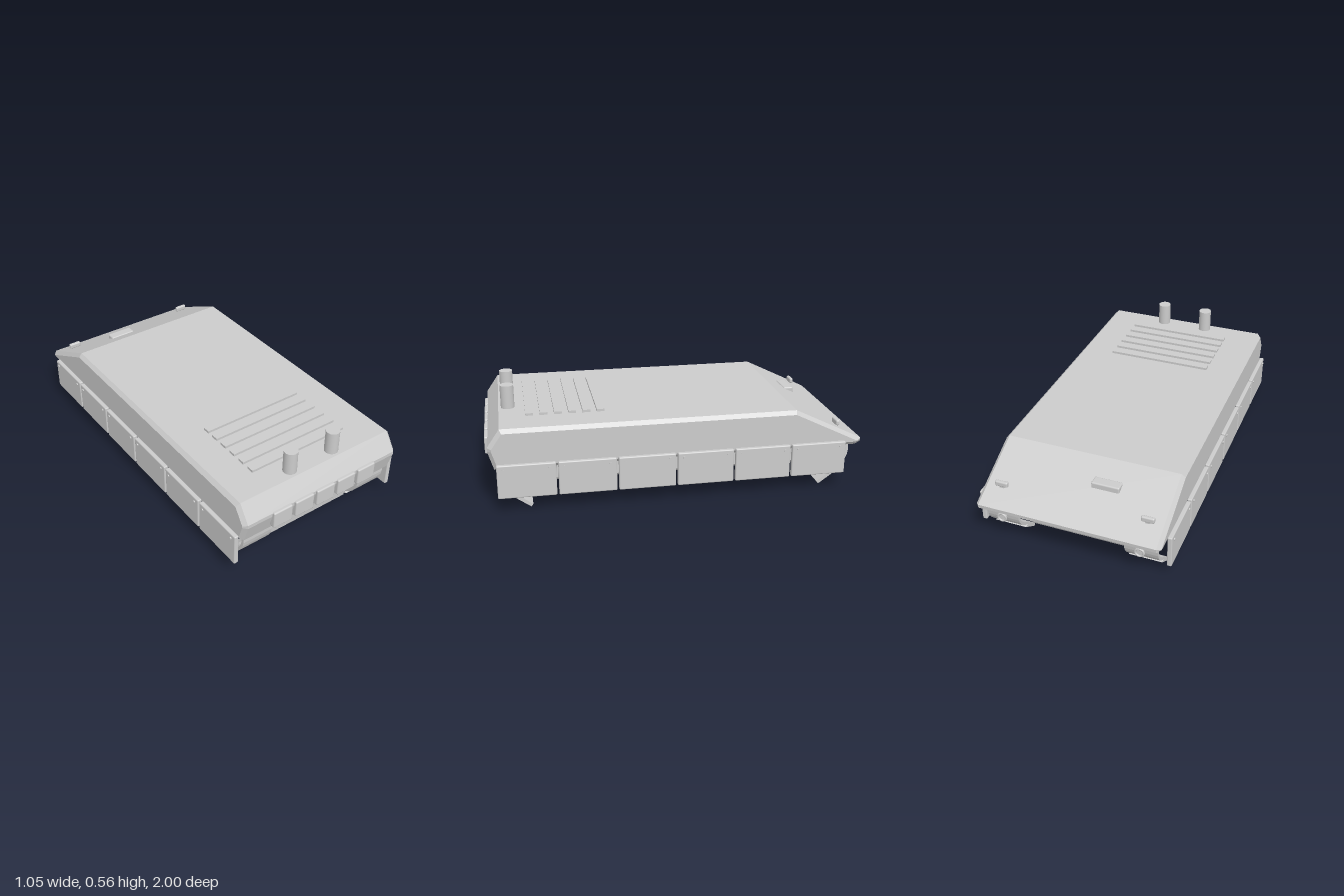
import * as THREE from 'three';
import { RoundedBoxGeometry } from 'three/addons/geometries/RoundedBoxGeometry.js';

const material = new THREE.MeshStandardMaterial({ color: 0xcccccc });

// Extrude a side profile of [z, y] points across x, with chamfered edges.
function sideExtrude(points, width, chamfer) {
  const shape = new THREE.Shape(points.map(([z, y]) => new THREE.Vector2(z, y)));
  const geometry = new THREE.ExtrudeGeometry(shape, {
    depth: width - 2 * chamfer,
    bevelEnabled: chamfer > 0,
    bevelThickness: chamfer,
    bevelSize: chamfer,
    bevelOffset: -chamfer,
    bevelSegments: 1,
  });
  geometry.translate(0, 0, -(width - 2 * chamfer) / 2);
  return geometry.rotateY(-Math.PI / 2);
}

// Curved sheet with a straight flap, as a closed [z, y] outline.
function guardProfile(end) {
  const outer = [], inner = [];
  for (let i = 0; i <= 8; i++) {
    const a = THREE.MathUtils.degToRad(15 - (85 * i) / 8);
    outer.push([0.8 + 0.14 * Math.cos(a), 0.2 + 0.14 * Math.sin(a)]);
    inner.push([0.8 + 0.125 * Math.cos(a), 0.2 + 0.125 * Math.sin(a)]);
  }
  const flap = [[0.87, 0.064], [0.78, 0.0], [0.77, 0.014], [0.838, 0.064]];
  return [...outer, ...flap, ...inner.reverse()].map(([z, y]) => [z * end, y]);
}

export function createModel() {
  const model = new THREE.Group();
  const add = (name, geometry, x = 0, y = 0, z = 0, rx = 0, rz = 0) => {
    const mesh = new THREE.Mesh(geometry, material);
    mesh.name = name;
    mesh.position.set(x, y, z);
    mesh.rotation.set(rx, 0, rz);
    model.add(mesh);
    return mesh;
  };

  // Hull
  add('upperHull', sideExtrude([
    [0.955, 0.225], [0.985, 0.325], [0.985, 0.345], [0.92, 0.44],
    [-0.63, 0.44], [-1, 0.26], [-0.998, 0.24], [-0.97, 0.225],
  ], 0.982, 0.02));
  add('lowerHull', sideExtrude([
    [0.88, 0.235], [0.865, 0.06], [-0.82, 0.06], [-0.92, 0.235],
  ], 0.57, 0.016));

  // Raised louvres and exhaust stacks on the deck
  for (let i = 0; i < 6; i++) {
    add('deckLouvre', new THREE.BoxGeometry(0.59, 0.02, 0.04), 0, 0.443, 0.39 + i * 0.0745);
  }
  for (const side of [-1, 1]) {
    add('exhaustStack', new THREE.CylinderGeometry(0.036, 0.036, 0.14, 32), side * 0.134, 0.495, 0.87);
  }

  // Row of pads on the end plate
  for (let i = -2; i <= 2; i++) {
    add('endPad', new RoundedBoxGeometry(0.115, 0.094, 0.036, 2, 0.008), 0.003 + i * 0.135, 0.303, 0.982);
  }

  // Fittings on the sloped plate
  add('periscope', new RoundedBoxGeometry(0.15, 0.06, 0.056, 2, 0.008), -0.13, 0.363, -0.763);
  for (const side of [-1, 1]) {
    add('markerLight', new RoundedBoxGeometry(0.07, 0.03, 0.022, 2, 0.008), side * 0.39, 0.333, -0.887);
    add('markerLightStalk', new THREE.BoxGeometry(0.025, 0.03, 0.014), side * 0.39, 0.31, -0.887);
  }

  for (const side of [-1, 1]) {
    // Mudguards at both ends
    for (const end of [-1, 1]) {
      add('mudguard', sideExtrude(guardProfile(end), 0.175, 0), side * 0.3725, 0, 0);
    }
    // Lamps set in the guards
    add('lampBody', new THREE.CylinderGeometry(0.022, 0.022, 0.03, 24), side * 0.37, 0.17, -0.935, Math.PI / 2);
    add('lampRing', new THREE.TorusGeometry(0.022, 0.006, 8, 24), side * 0.37, 0.17, -0.95);

    // Side skirt panels with bolts
    for (let i = 0; i < 6; i++) {
      const z = 0.796 - i * 0.3095;
      add('skirtPanel', new RoundedBoxGeometry(0.025, 0.18, 0.299, 2, 0.006), side * 0.505, 0.17, z);
      for (const end of [-1, 1]) {
        add('skirtBolt', new THREE.CylinderGeometry(0.007, 0.007, 0.008, 12),
          side * 0.519, 0.235, z + end * 0.118, 0, Math.PI / 2);
      }
    }
  }
  return model;
}
